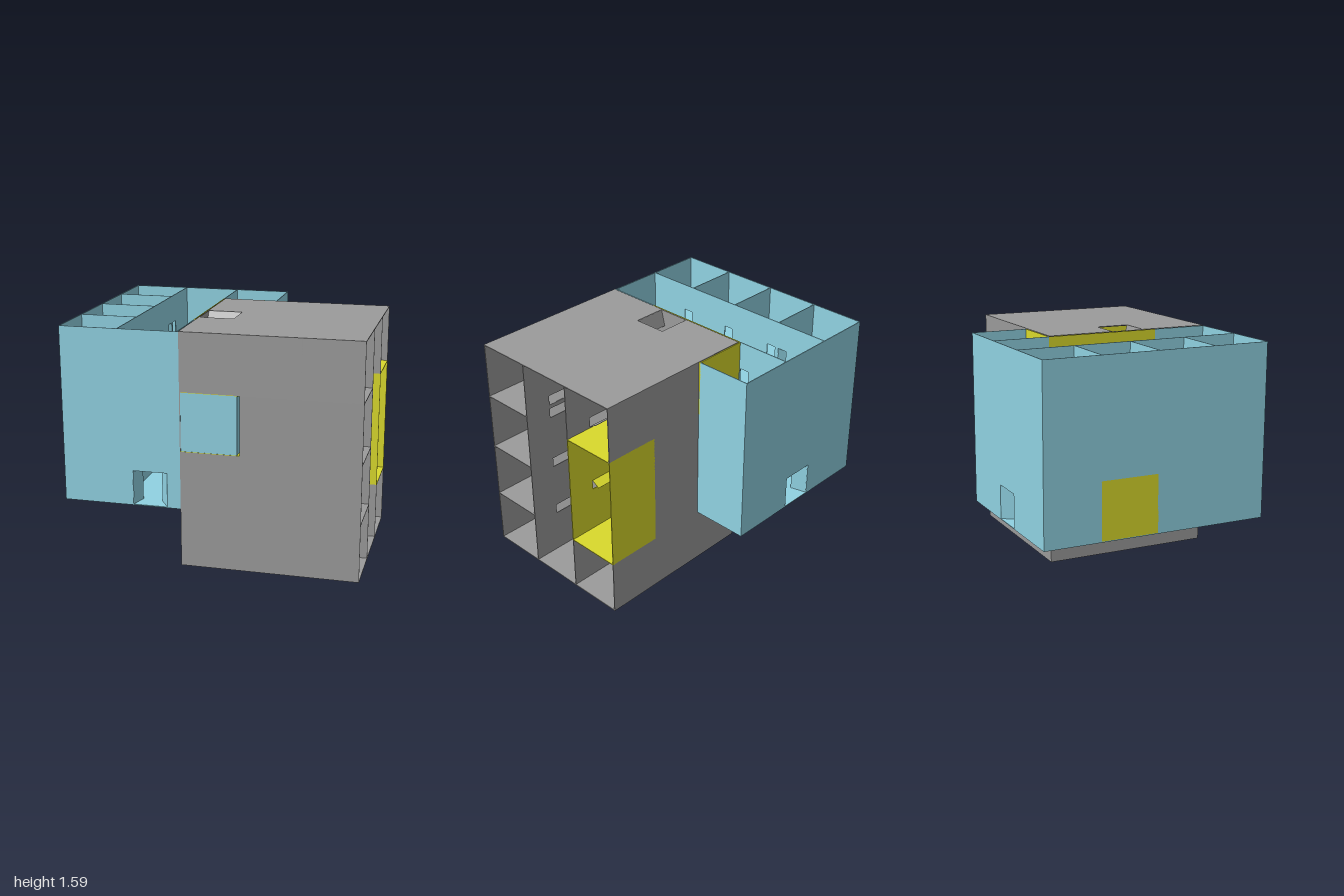
import * as THREE from 'three';

const T = 0.006; // wall thickness
const LEVELS = [0.396, 0.795, 1.19, 1.586];
const X = [-1, -0.605, -0.205, 0.187];
const Z = [-0.8, -0.405, -0.005, 0.395, 0.788];
const ROOM_DOOR = { w: 0.07, h: 0.2 };
const ENTRY = { a: -0.52, b: -0.285, h: 0.24 };

const material = (color) => new THREE.MeshStandardMaterial({ color, side: THREE.DoubleSide });
const yellow = material(0xdada2c);

// One dwelling: three storeys, a central corridor, rooms on both sides, open top
function house(name, mat, skipPanel) {
  const group = new THREE.Group();
  group.name = name;

  const add = (part, geometry, m) => {
    const mesh = new THREE.Mesh(geometry, m);
    mesh.name = part;
    group.add(mesh);
    return mesh;
  };

  // Upright panel from u0 to u1, with an optional doorway notch at its foot
  const wall = (part, axis, pos, u0, u1, k, m = mat, door = null) => {
    const y0 = LEVELS[k], y1 = LEVELS[k + 1];
    const s = new THREE.Shape();
    s.moveTo(u0, y0);
    if (door) {
      s.lineTo(door.a, y0);
      s.lineTo(door.a, y0 + door.h);
      s.lineTo(door.b, y0 + door.h);
      s.lineTo(door.b, y0);
    }
    s.lineTo(u1, y0);
    s.lineTo(u1, y1);
    s.lineTo(u0, y1);
    const mesh = add(part, new THREE.ExtrudeGeometry(s, { depth: T, bevelEnabled: false }), m);
    if (axis === 'x') {
      mesh.rotation.y = -Math.PI / 2;
      mesh.position.x = pos + T / 2;
    } else {
      mesh.position.z = pos - T / 2;
    }
  };

  // Thin door leaf from its hinge (x, z) towards (x + dx, z + dz)
  const leaf = (part, x, z, dx, dz, y, h, m = mat) => {
    const g = new THREE.BoxGeometry(Math.hypot(dx, dz), h, 0.003);
    const mesh = add(part, g, m);
    mesh.position.set(x + dx / 2, y + h / 2, z + dz / 2);
    mesh.rotation.y = -Math.atan2(dz, dx);
  };

  // Corridor wall with a half-open room door
  const roomWall = (x, side, z0, z1, hinge, dir, k, m) => {
    const ends = [hinge, hinge + dir * ROOM_DOOR.w].sort((p, q) => p - q);
    wall('corridorWall', 'x', x, z0, z1, k, m, { a: ends[0], b: ends[1], h: ROOM_DOOR.h });
    leaf('roomDoor', x, hinge, side * 0.06, dir * 0.036, LEVELS[k], ROOM_DOOR.h, m);
  };

  for (let k = 0; k < 3; k++) {
    const y = LEVELS[k];
    const marked = k === 0 ? yellow : mat; // small marked room on the first storey
    const large = k === 2 ? yellow : mat;  // large marked room on the third storey

    const floor = add('floor', new THREE.BoxGeometry(X[3] - X[0], T, Z[4] - Z[0]), mat);
    floor.position.set((X[0] + X[3]) / 2, y + T / 2, (Z[0] + Z[4]) / 2);

    // Four small rooms along one side of the corridor
    const hinges = [[-0.415, -1], [-0.385, 1], [0.01, 1], [0.405, 1]];
    hinges.forEach(([hinge, dir], i) => {
      const m = i === 1 ? marked : mat;
      if (!(skipPanel && k === 0 && i === 1)) {
        wall('outerSideWall', 'x', X[0] + T / 2, Z[i], Z[i + 1], k, m);
      }
      roomWall(X[1], -1, Z[i], Z[i + 1], hinge, dir, k, m);
      if (i > 0) wall('roomDivider', 'z', Z[i], X[0], X[1], k, i < 3 ? marked : mat);
    });

    // Two small rooms and one double room along the other side
    const rooms = [
      [Z[0], Z[1], -0.415, -1, mat],
      [Z[1], Z[3], 0.005, 1, large],
      [Z[3], Z[4], 0.405, 1, mat],
    ];
    for (const [z0, z1, hinge, dir, m] of rooms) {
      roomWall(X[2], 1, z0, z1, hinge, dir, k, m);
      wall('outerSideWall', 'x', X[3] - T / 2, z0, z1, k, m);
    }
    for (const z of [Z[1], Z[3]]) wall('roomDivider', 'z', z, X[2], X[3], k, large);

    // End walls, with double entry doors on the first storey
    for (const [z, inward] of [[Z[4] - T / 2, -1], [Z[0] + T / 2, 1]]) {
      wall('endWall', 'z', z, X[0], X[3], k, mat, k === 0 ? ENTRY : null);
      if (k === 0) {
        leaf('entryDoor', ENTRY.a, z, 0.03, inward * 0.113, y, ENTRY.h);
        leaf('entryDoor', ENTRY.b, z, -0.065, inward * 0.098, y, ENTRY.h);
      }
    }
  }
  return group;
}

export function createModel() {
  const model = new THREE.Group();
  model.name = 'interlockingHouses';

  model.add(house('uprightHouse', material(0x90d2e2), false));

  // The second dwelling is the same plan lying on its side, opening towards +x
  const tipped = house('tippedHouse', material(0x9b9b9b), true);
  tipped.applyMatrix4(new THREE.Matrix4().set(
    0, 1, 0, -0.59,
    0, 0, -1, 0.788,
    -1, 0, 0, -0.21,
    0, 0, 0, 1,
  ));
  model.add(tipped);
  return model;
}
